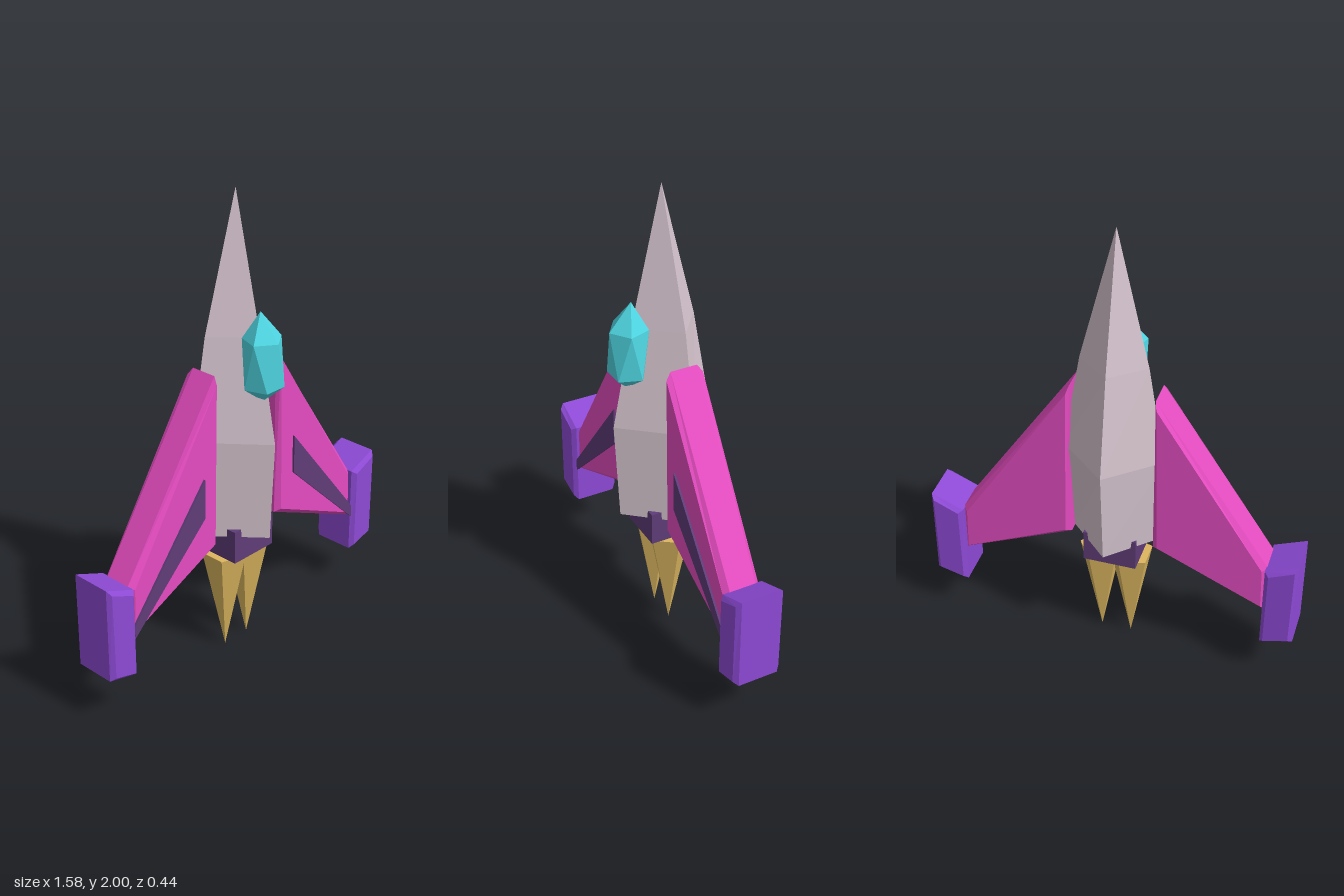
import * as THREE from 'three';
import { ConvexGeometry } from 'three/addons/geometries/ConvexGeometry.js';

const paint = (name, color) => {
  const m = new THREE.MeshStandardMaterial({ color, flatShading: true });
  m.name = name;
  return m;
};

// Lofts four-cornered rings (front, left, back, right) upwards, closed below
function loftHull(rings) {
  const pos = [];
  const tri = (...pts) => pts.forEach((p) => pos.push(...p));
  for (let r = 0; r < rings.length - 1; r++) {
    for (let i = 0; i < 4; i++) {
      const j = (i + 1) % 4;
      const [a, b, c, d] = [rings[r][i], rings[r][j], rings[r + 1][j], rings[r + 1][i]];
      tri(a, b, c);
      if (r < rings.length - 2) tri(a, c, d);
    }
  }
  const [f, l, b, k] = rings[0];
  tri(f, b, l);
  tri(f, k, b);
  const geo = new THREE.BufferGeometry();
  geo.setAttribute('position', new THREE.Float32BufferAttribute(pos, 3));
  geo.computeVertexNormals();
  return geo;
}

// Chamfered slab from a front outline, running from z0 to z1
function slab(points, side, z0, z1, bevel) {
  const shape = new THREE.Shape(points.map(([x, y]) => new THREE.Vector2(x * side, y)));
  const geo = new THREE.ExtrudeGeometry(shape, {
    depth: z1 - z0 - 2 * bevel,
    bevelEnabled: bevel > 0,
    bevelThickness: bevel,
    bevelSize: bevel,
    bevelOffset: -bevel,
    bevelSegments: 1,
  });
  return geo.translate(0, 0, z0 + bevel);
}

export function createModel() {
  const group = new THREE.Group();
  const hullGray = paint('hull gray', 0xd6c4ce);
  const pink = paint('wing pink', 0xe54cc0);
  const purple = paint('fin purple', 0x8e4ad6);
  const dark = paint('dark purple', 0x5f3c78);
  const cyan = paint('canopy cyan', 0x4fd6e2);
  const gold = paint('flame gold', 0xdcb660);

  const add = (name, geo, mat) => {
    const mesh = new THREE.Mesh(geo, mat);
    mesh.name = name;
    group.add(mesh);
    return mesh;
  };

  // Hull: height, half width, front z, side corner z, back z
  const rings = [
    [0.57, 0.178, 0.19, -0.02, -0.19],
    [1.0, 0.21, 0.213, -0.04, -0.218],
    [1.43, 0.14, 0.13, -0.03, -0.142],
    [2.0, 0, 0, 0, 0],
  ].map(([y, w, f, s, b]) => [[0, y, f], [w, y, s], [0, y, b], [-w, y, s]]);
  add('hull', loftHull(rings), hullGray);

  // Canopy: faceted gem with two staggered rings of five
  const gem = [new THREE.Vector3(0, 1.54, 0.13), new THREE.Vector3(0, 1.17, 0.15)];
  for (let i = 0; i < 5; i++) {
    const a = (i * Math.PI * 2) / 5;
    const b = a + Math.PI / 5;
    gem.push(new THREE.Vector3(Math.sin(a) * 0.083, 1.43, 0.143 + Math.cos(a) * 0.08));
    gem.push(new THREE.Vector3(Math.sin(b) * 0.085, 1.235, 0.148 + Math.cos(b) * 0.08));
  }
  add('canopy', new ConvexGeometry(gem), cyan);

  // Wings, their stripes and the tip fins
  for (const side of [1, -1]) {
    const label = side > 0 ? 'left' : 'right';
    const wing = [[0.175, 1.305], [0.175, 0.565], [0.66, 0.35], [0.66, 0.575]];
    add(label + 'Wing', slab(wing, side, -0.082, 0.076, 0.022), pink);

    const stripe = [[0.262, 0.9], [0.262, 0.73], [0.655, 0.355], [0.655, 0.41]];
    add(label + 'WingStripe', slab(stripe, side, 0.077, 0.086, 0), dark);

    const fin = [[0.652, 0.58], [0.652, 0.22], [0.79, 0.19], [0.79, 0.637]];
    const finParts = [[0.652, 0.58], [0.652, 0.19], [0.79, 0.225], [0.79, 0.637]];
    fin[1][1] = finParts[1][1];
    fin[2][1] = finParts[2][1];
    add(label + 'TipFin', slab(fin, side, -0.108, 0.1, 0.018), purple);
  }

  // Engine block, with corners showing past the hull
  const block = add('engineBlock', new THREE.BoxGeometry(0.225, 0.145, 0.205), dark);
  block.position.set(0, 0.533, 0);

  // Five-sided exhaust flames pointing down
  for (const side of [1, -1]) {
    const geo = new THREE.ConeGeometry(0.095, 0.45, 5).rotateX(Math.PI).rotateY(-Math.PI / 2);
    const flame = add(side > 0 ? 'leftFlame' : 'rightFlame', geo, gold);
    flame.position.set(side * 0.065, 0.235, 0);
  }
  // Stand the flame tips on the ground
  group.children.filter((m) => m.name.endsWith('Flame')).forEach((m) => { m.position.y = 0.23; m.scale.y = 460 / 450; });
  return group;
}
